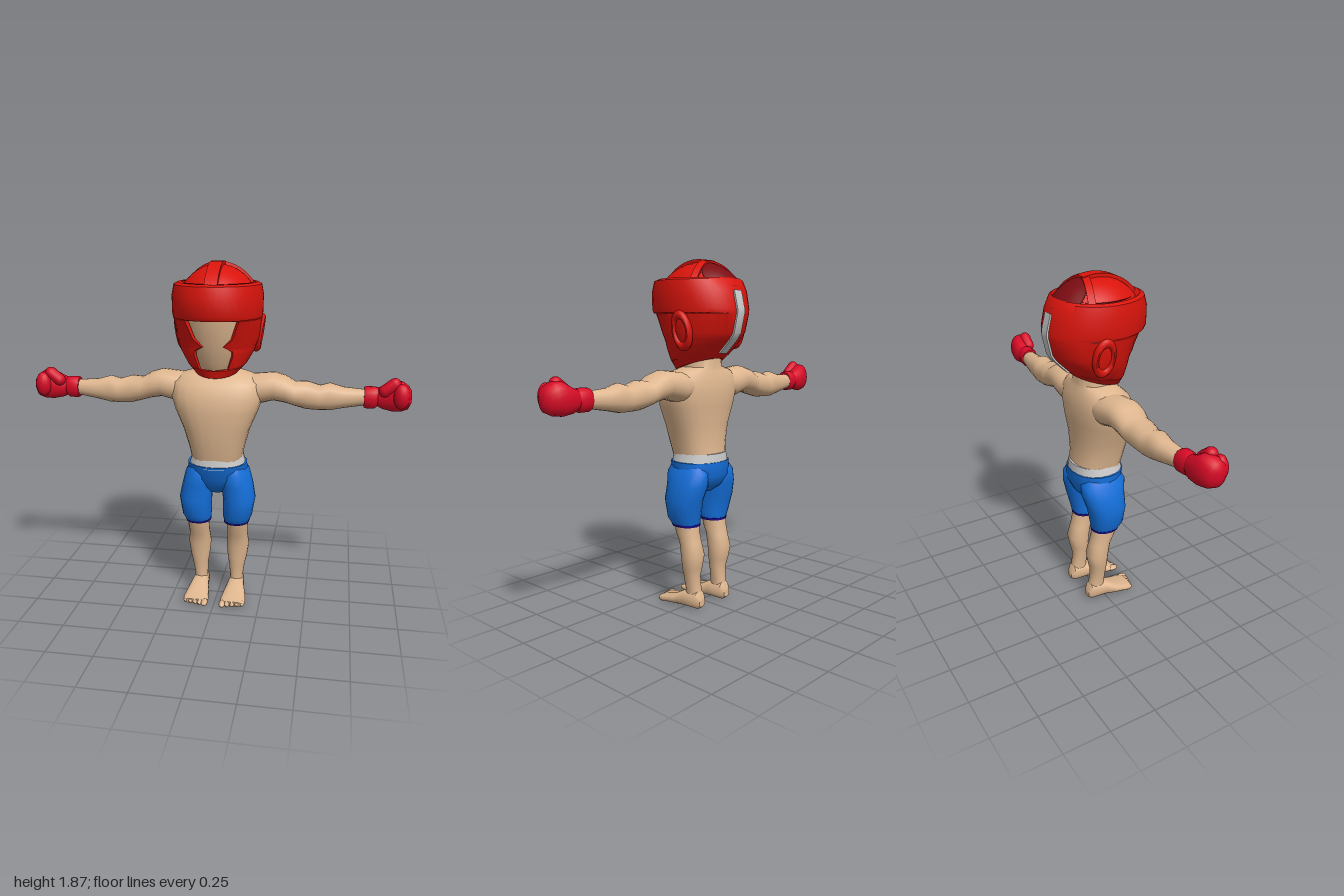
import * as THREE from 'three';
import { toCreasedNormals } from 'three/addons/utils/BufferGeometryUtils.js';

const paint = (color) => new THREE.MeshStandardMaterial({ color, roughness: 0.8 });
const V = (x, y, z) => new THREE.Vector3(x, y, z);

// Skin a stack of closed rings; winding is corrected by the signed volume.
function skin(rings, capped = true) {
  const n = rings[0].length, pts = rings.flat(), idx = [];
  for (let r = 0; r < rings.length - 1; r++)
    for (let i = 0; i < n; i++) {
      const a = r * n + i, b = r * n + (i + 1) % n;
      idx.push(a, b, a + n, b, b + n, a + n);
    }
  if (capped)
    [0, rings.length - 1].forEach((r) => {
      const c = V(0, 0, 0);
      rings[r].forEach((p) => c.addScaledVector(p, 1 / n));
      pts.push(c);
      for (let i = 0; i < n; i++) {
        const a = r * n + i, b = r * n + (i + 1) % n;
        idx.push(pts.length - 1, ...(r ? [a, b] : [b, a]));
      }
    });
  let vol = 0;
  for (let i = 0; i < idx.length; i += 3)
    vol += pts[idx[i]].dot(V(0, 0, 0).crossVectors(pts[idx[i + 1]], pts[idx[i + 2]]));
  if (vol < 0) idx.reverse();
  const g = new THREE.BufferGeometry().setFromPoints(pts);
  g.setIndex(idx);
  return g;
}

// Rows: [position on axis, min a, max a, min b, max b]; (a,b) = xz, yz or xy.
function loft(axis, rows, square = 0.9, n = 20) {
  const bend = (v) => Math.sign(v) * Math.abs(v) ** square;
  return skin(rows.map(([t, a0, a1, b0, b1]) => Array.from({ length: n }, (_, i) => {
    const w = (i / n) * Math.PI * 2;
    const a = (a0 + a1) / 2 + (a1 - a0) / 2 * bend(Math.cos(w));
    const b = (b0 + b1) / 2 + (b1 - b0) / 2 * bend(Math.sin(w));
    return axis === 'y' ? V(a, t, b) : axis === 'x' ? V(t, a, b) : V(a, b, t);
  })));
}

const blob = (x, y, z, rx, ry, rz) =>
  new THREE.SphereGeometry(1, 16, 12).scale(rx, ry, rz).translate(x, y, z);

// Ribbon of rectangular section along points, given the outward and side vectors.
function ribbon(path, half, thick, centre) {
  return skin(path.map((p, i) => {
    const along = path[Math.min(i + 1, path.length - 1)].clone().sub(path[Math.max(i - 1, 0)]);
    const out = p.clone().sub(centre).normalize();
    const side = along.cross(out).normalize();
    return [[-1, -1], [1, -1], [1, 1], [-1, 1]].map(([s, o]) =>
      p.clone().addScaledVector(side, s * half).addScaledVector(out, o * thick));
  }));
}

function mirrored(geo) {
  const g = geo.clone().scale(-1, 1, 1);
  g.setIndex(Array.from(g.index.array).reverse());
  return g;
}

export function createModel() {
  const model = new THREE.Group();
  const tan = paint(0xdeb68f), red = paint(0xd9140c), gloveRed = paint(0xd80a26);
  const blue = paint(0x1470dc), navy = paint(0x1a0a8a), dark = paint(0x7a0c12), grey = paint(0xcccccc);
  const add = (name, geo, mat, crease = 0.8) => {
    const mesh = new THREE.Mesh(toCreasedNormals(geo, crease), mat);
    mesh.name = name;
    model.add(mesh);
  };
  const pair = (name, geo, mat) => {
    add('left' + name, geo, mat);
    add('right' + name, mirrored(geo), mat);
  };

  // Torso, neck and face
  add('torso', loft('y', [
    [0.82, -0.135, 0.135, -0.125, 0.135], [0.9, -0.15, 0.15, -0.115, 0.155],
    [1.0, -0.178, 0.178, -0.115, 0.17], [1.1, -0.22, 0.22, -0.125, 0.18],
    [1.18, -0.245, 0.245, -0.13, 0.175], [1.25, -0.24, 0.24, -0.12, 0.145],
    [1.29, -0.19, 0.19, -0.105, 0.1], [1.31, -0.11, 0.11, -0.1, 0.075],
    [1.42, -0.1, 0.1, -0.1, 0.07]], 0.82, 24), tan);
  add('face', loft('y', [
    [1.3, -0.08, 0.08, -0.08, 0.1], [1.36, -0.12, 0.12, -0.1, 0.135],
    [1.45, -0.15, 0.15, -0.12, 0.162], [1.57, -0.17, 0.17, -0.14, 0.2],
    [1.63, -0.17, 0.17, -0.14, 0.205]], 1, 24), tan);

  // Arms and gloves
  pair('Arm', loft('x', [
    [0.12, 1.14, 1.28, -0.1, 0.08], [0.2, 1.13, 1.292, -0.105, 0.095],
    [0.3, 1.155, 1.302, -0.1, 0.092], [0.36, 1.145, 1.285, -0.095, 0.088],
    [0.41, 1.13, 1.255, -0.09, 0.08], [0.47, 1.113, 1.26, -0.08, 0.07],
    [0.54, 1.11, 1.24, -0.075, 0.065], [0.59, 1.11, 1.255, -0.068, 0.06],
    [0.66, 1.125, 1.235, -0.06, 0.05], [0.8, 1.15, 1.225, -0.035, 0.04]]), tan);
  pair('GloveCuff', loft('x', [
    [0.765, 1.135, 1.24, -0.042, 0.05], [0.775, 1.13, 1.245, -0.045, 0.053],
    [0.82, 1.13, 1.245, -0.04, 0.052], [0.835, 1.145, 1.24, -0.035, 0.045]]), gloveRed);
  pair('Glove', loft('x', [
    [0.82, 1.15, 1.235, -0.03, 0.04], [0.86, 1.13, 1.25, -0.045, 0.055],
    [0.91, 1.12, 1.28, -0.045, 0.07], [0.955, 1.125, 1.28, -0.035, 0.08],
    [0.985, 1.14, 1.26, -0.015, 0.08], [1.0, 1.17, 1.235, 0.015, 0.06]]), gloveRed);
  pair('GloveFingers', blob(0.95, 1.21, 0.068, 0.042, 0.065, 0.037), gloveRed);
  pair('GloveThumb', new THREE.CapsuleGeometry(0.032, 0.06, 6, 12).rotateZ(-0.9)
    .translate(0.89, 1.25, 0.045), gloveRed);

  // Shorts
  add('waistband', loft('y', [
    [0.79, -0.155, 0.155, -0.137, 0.147], [0.85, -0.14, 0.14, -0.132, 0.14]]), grey);
  add('shortsHips', loft('y', [
    [0.635, -0.05, 0.05, -0.06, 0.06], [0.67, -0.11, 0.11, -0.11, 0.095],
    [0.73, -0.165, 0.165, -0.14, 0.13], [0.805, -0.162, 0.162, -0.14, 0.15]]), blue);
  pair('ShortsLeg', loft('y', [
    [0.465, 0.038, 0.177, -0.07, 0.088], [0.5, 0.033, 0.193, -0.077, 0.11],
    [0.6, 0.033, 0.21, -0.1, 0.12], [0.68, 0.02, 0.194, -0.125, 0.12],
    [0.75, 0.02, 0.175, -0.13, 0.13], [0.79, 0.04, 0.15, -0.1, 0.11]]), blue);
  pair('ShortsHem', loft('y', [
    [0.455, 0.037, 0.176, -0.071, 0.085], [0.468, 0.036, 0.179, -0.073, 0.09]]), navy);

  // Legs, feet and toes
  pair('Leg', loft('y', [
    [0.04, 0.065, 0.14, -0.095, 0.01], [0.1, 0.066, 0.138, -0.088, 0.003],
    [0.18, 0.06, 0.15, -0.078, 0.01], [0.23, 0.052, 0.162, -0.09, 0.015],
    [0.3, 0.045, 0.172, -0.103, 0.02], [0.37, 0.052, 0.165, -0.085, 0.035],
    [0.42, 0.052, 0.168, -0.073, 0.06], [0.5, 0.05, 0.17, -0.065, 0.075]]), tan);
  pair('Foot', loft('z', [
    [-0.105, 0.08, 0.125, 0.015, 0.065], [-0.085, 0.062, 0.142, 0, 0.1],
    [0.0, 0.055, 0.15, 0, 0.095], [0.06, 0.042, 0.165, 0, 0.062],
    [0.13, 0.033, 0.175, 0, 0.042], [0.165, 0.04, 0.165, 0.004, 0.032]], 0.8), tan);
  for (let i = 0; i < 5; i++)
    pair('Toe' + (i + 1), blob(0.05 + i * 0.027, 0.017, 0.165 - i * 0.007,
      i ? 0.014 : 0.018, 0.016, 0.034), tan);

  // Head guard: C-shaped rows [y, rise at back, half width, front z, back z, half opening, outer scale]
  const rows = [
    [1.285, 0.07, 0.11, 0.13, 0.11, 0, 0.9], [1.285, 0.07, 0.12, 0.14, 0.12, 0, 1],
    [1.325, 0.06, 0.155, 0.152, 0.155, 0, 1], [1.328, 0.06, 0.158, 0.154, 0.157, 0.075, 1],
    [1.4, 0.03, 0.192, 0.165, 0.2, 0.1, 1], [1.425, 0.02, 0.2, 0.168, 0.215, 0.1, 1],
    [1.45, 0.01, 0.207, 0.172, 0.23, 0.055, 1], [1.49, 0, 0.217, 0.19, 0.25, 0.1, 1],
    [1.585, 0, 0.23, 0.24, 0.272, 0.137, 1], [1.59, 0, 0.231, 0.265, 0.272, 0, 1],
    [1.61, 0, 0.234, 0.277, 0.272, 0, 1], [1.7, 0, 0.236, 0.277, 0.25, 0, 1],
    [1.755, 0, 0.226, 0.262, 0.222, 0, 1], [1.765, 0, 0.205, 0.24, 0.21, 0, 1],
    [1.74, 0, 0.17, 0.2, 0.18, 0, 1]];
  const N = 40;
  add('headGuard', skin(rows.map(([y, rise, w, f, b, open, s]) => {
    const start = Math.asin(open / w);
    const at = (i, k) => {
      const t = start + (i / N) * (Math.PI * 2 - start * 2), c = Math.cos(t);
      return V(w * k * Math.sin(t), y + rise * (1 - c) / 2, (c > 0 ? f : b) * k * c);
    };
    const ids = Array.from({ length: N + 1 }, (_, i) => i);
    return [...ids.map((i) => at(i, s)), ...ids.reverse().map((i) => at(i, 0.9))];
  }), false), red, 0.6);

  // Crown dome, with straps and the dark patch laid on it
  const centre = V(0, 1.6, 0);
  const onCrown = (x, z, k) =>
    V(x * k, 1.6 + 0.252 * k * Math.sqrt(Math.max(0, 1 - (x / 0.222) ** 2 - (z / 0.268) ** 2)), z * k);
  add('crown', new THREE.SphereGeometry(1, 32, 10, 0, Math.PI * 2, 0, Math.PI / 2)
    .scale(0.222, 0.252, 0.268).translate(0, 1.6, 0), red);
  const line = (x0, z0, x1, z1) => Array.from({ length: 11 }, (_, i) =>
    onCrown(x0 + (x1 - x0) * i / 10, z0 + (z1 - z0) * i / 10, 1.015));
  add('centreStrap', ribbon(line(0, 0.235, 0, -0.07), 0.033, 0.011, centre), red);
  pair('SideStrap', ribbon(line(0, -0.05, 0.19, -0.11), 0.018, 0.01, centre), red);
  const disc = [1, 0.75, 0.5, 0.25, 0.01].map((r) => Array.from({ length: 24 }, (_, i) => {
    const t = (i / 24) * Math.PI * 2;
    return onCrown(0.125 * r * Math.cos(t), -0.15 + 0.085 * r * Math.sin(t), 1.016);
  }));
  add('crownPatch', skin([disc[0].map((p) => p.clone().lerp(centre, 0.05)), ...disc]), dark);

  // Stripe down the back
  add('backStripe', ribbon(rows.slice(2, 12).filter((r) => r[0] !== 1.328 && r[0] !== 1.59)
    .map((r) => V(0, r[0] + r[1], -r[4] - 0.001)), 0.028, 0.006, V(0, 1.53, 0)), grey);

  // Ear guards: padded rim around a shallow cup
  const place = (g) => g.rotateY(Math.PI / 2).rotateZ(-0.15).rotateX(0.08).translate(0.208, 1.5, -0.062);
  pair('EarRim', place(new THREE.TorusGeometry(1, 0.3, 10, 24).scale(0.048, 0.081, 0.075)), red);
  pair('EarCup', place(new THREE.SphereGeometry(1, 20, 12).scale(0.048, 0.08, 0.012)), red);

  return model;
}
